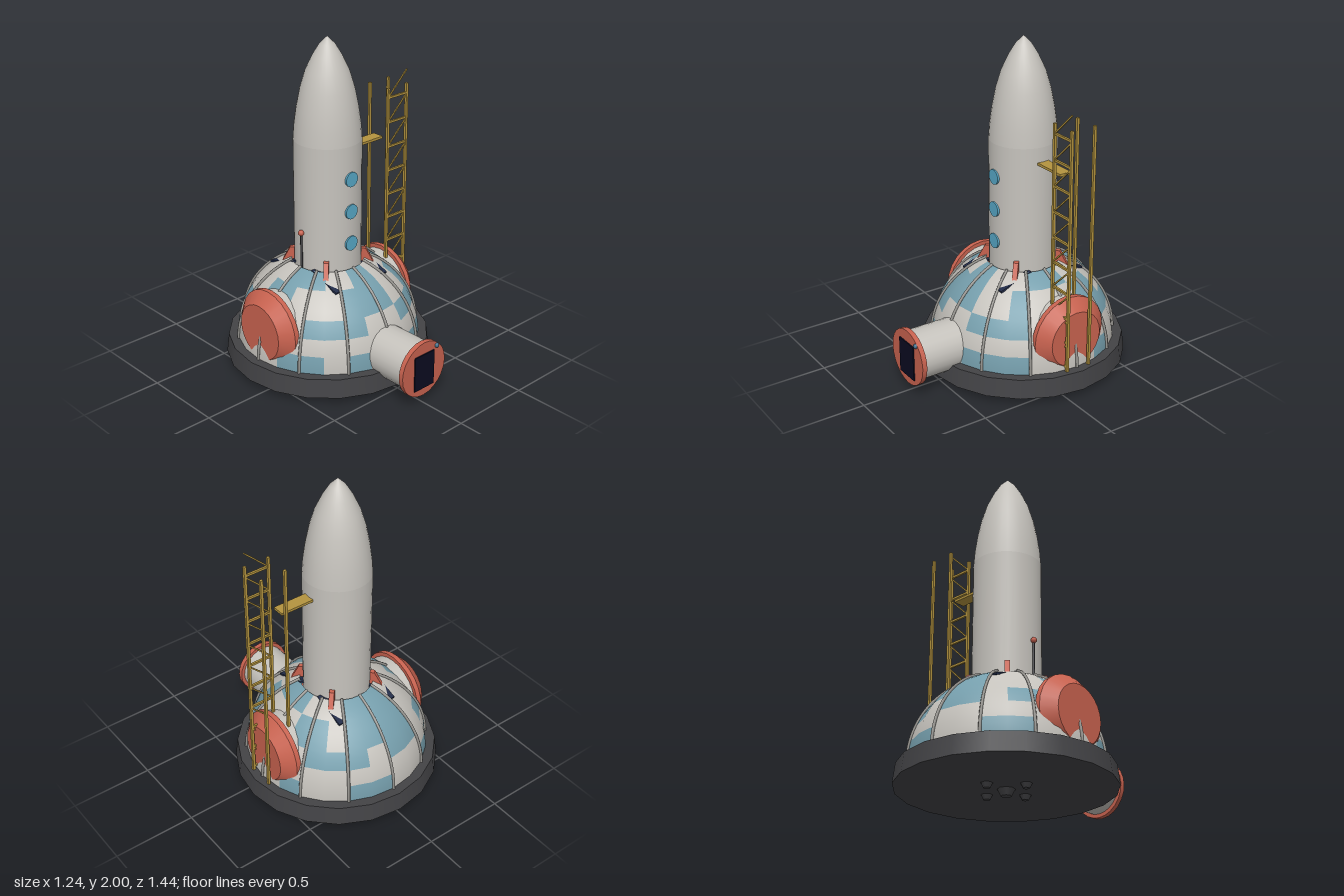
import * as THREE from 'three';

const paint = (name, color) => {
  const m = new THREE.MeshStandardMaterial({ color });
  m.name = name;
  return m;
};

export function createModel() {
  const white = paint('hullWhite', 0xc6c3bd);
  const panelBlue = paint('panelBlue', 0x769fad);
  const glass = paint('windowBlue', 0x58a9c8);
  const red = paint('hatchRed', 0xc8624f);
  const dark = paint('baseGrey', 0x434346);
  const navy = paint('padNavy', 0x222c48);
  const black = paint('doorDark', 0x0b0b20);
  const gold = paint('towerGold', 0xb4943f);
  const grey = paint('ribGrey', 0x96948f);
  const steel = paint('knobBlue', 0x44708c);

  const root = new THREE.Group();
  const station = new THREE.Group(); // everything round the dome axis
  station.name = 'station';
  station.position.z = -0.1;
  root.add(station);

  const add = (parent, name, geo, mat, x = 0, y = 0, z = 0) => {
    const m = new THREE.Mesh(geo, mat);
    m.name = name;
    m.position.set(x, y, z);
    parent.add(m);
    return m;
  };
  const box = (w, h, d) => new THREE.BoxGeometry(w, h, d);
  const cyl = (rt, rb, h, n = 24) => new THREE.CylinderGeometry(rt, rb, h, n);
  const V = (x, y, z = 0) => new THREE.Vector3(x, y, z);

  // Base ring
  add(station, 'baseRing', cyl(0.606, 0.62, 0.115, 20), dark, 0, 0.0975, 0);
  add(station, 'underCore', cyl(0.05, 0.03, 0.04, 8), dark, 0, 0.02, 0);
  for (let i = 0; i < 4; i++) {
    const a = i * Math.PI / 2;
    add(station, 'underFoot', cyl(0.035, 0.02, 0.03, 7), dark, 0.15 * Math.sin(a), 0.027, 0.15 * Math.cos(a));
  }

  // Dome: 24 sectors starting at the back; '#' marks a blue panel
  const R = 0.55, CY = 0.14;
  const rows = [
    [0.26, '..##...##.#..###...#..##'],
    [0.355, '........................'],
    [0.45, '##.##...###..###....###.'],
    [0.58, '##...##...###..#...##.##'],
    [0.645, '##....###..##...###...##'],
  ];
  const profile = [new THREE.Vector2(R, CY)], bandRow = [];
  let low = CY;
  rows.forEach(([top], r) => {
    for (let k = 1; k <= 3; k++) {
      const y = low + (top - low) * k / 3;
      profile.push(new THREE.Vector2(Math.sqrt(R * R - (y - CY) ** 2), y));
      bandRow.push(r);
    }
    low = top;
  });
  const domeGeo = new THREE.LatheGeometry(profile, 24, -Math.PI);
  for (let s = 0, q = 0; s < 24; s++) {
    for (const r of bandRow) domeGeo.addGroup(6 * q++, 6, rows[r][1][s] === '#' ? 1 : 0);
  }
  add(station, 'dome', domeGeo, [white, panelBlue]);

  // Dome ribs
  const arc = [];
  for (let i = 0; i <= 8; i++) {
    const t = i / 8 * 1.17;
    arc.push(V((R + 0.004) * Math.cos(t), CY + (R + 0.004) * Math.sin(t)));
  }
  const ribGeo = new THREE.TubeGeometry(new THREE.CatmullRomCurve3(arc), 16, 0.009, 6);
  for (let i = 0; i < 12; i++) add(station, 'domeRib', ribGeo, grey).rotation.y = i * Math.PI / 6;

  // Rocket hull and pointed nose
  add(station, 'rocketBody', cyl(0.2, 0.2, 0.9, 32), white, 0, 0.95, 0);
  const nose = [[0.2, 1.4], [0.193, 1.49], [0.179, 1.59], [0.157, 1.7], [0.127, 1.8], [0.085, 1.89], [0.045, 1.955], [0, 2]];
  add(station, 'rocketNose', new THREE.LatheGeometry(nose.map(p => new THREE.Vector2(...p)), 32), white);
  for (const y of [0.8, 1, 1.2]) {
    add(station, 'rocketWindow', cyl(0.045, 0.045, 0.02), glass, 0, y, 0.197).rotation.x = Math.PI / 2;
  }

  // Diagonal fins
  const finShape = new THREE.Shape([[0.17, 0.56], [0.28, 0.56], [0.275, 0.61], [0.225, 0.705], [0.17, 0.71]]
    .map(p => new THREE.Vector2(...p)));
  const finGeo = new THREE.ExtrudeGeometry(finShape, { depth: 0.03, bevelEnabled: false });
  finGeo.translate(0, 0, -0.015);
  for (let i = 0; i < 4; i++) add(station, 'fin', finGeo, red).rotation.y = Math.PI / 4 + i * Math.PI / 2;

  // Sloping landing pads partly sunk into the dome
  for (const sx of [-1, 1]) for (const sz of [-1, 1]) {
    add(station, 'landingPad', box(0.085, 0.012, 0.222), navy, sx * 0.162, 0.608, sz * 0.185).rotation.x = sz * 0.32;
  }

  // Signal mast on the rocket's right side
  add(station, 'mast', cyl(0.007, 0.007, 0.24, 8), dark, -0.208, 0.74, 0);
  add(station, 'mastLamp', new THREE.SphereGeometry(0.018, 12, 8), red, -0.21, 0.862, 0);

  // Side hatches, mirrored
  for (const s of [-1, 1]) {
    const hatch = new THREE.Group();
    hatch.name = s > 0 ? 'leftHatch' : 'rightHatch';
    hatch.position.y = 0.33;
    hatch.rotation.z = -s * Math.PI / 2;
    station.add(hatch);
    add(hatch, 'hatchTunnel', cyl(0.215, 0.215, 0.17), white, 0, 0.365, 0);
    add(hatch, 'hatchRim', cyl(0.24, 0.24, 0.03), red, 0, 0.455, 0);
    add(hatch, 'hatchCover', cyl(0.17, 0.24, 0.068), red, 0, 0.504, 0);
  }

  // Front airlock
  const airlock = new THREE.Group();
  airlock.name = 'airlock';
  airlock.position.y = 0.22;
  root.add(airlock);
  add(airlock, 'airlockTunnel', cyl(0.15, 0.15, 0.4), white, 0, 0, 0.48).rotation.x = Math.PI / 2;
  add(airlock, 'airlockRim', cyl(0.172, 0.172, 0.03), red, 0, 0, 0.69).rotation.x = Math.PI / 2;
  add(airlock, 'airlockDoor', box(0.155, 0.22, 0.009), black, 0, -0.01, 0.708);
  add(airlock, 'airlockKnob', new THREE.SphereGeometry(0.015, 12, 8), steel, 0.1, 0.118, 0.705);

  // Service tower: posts, rungs, diagonal braces and walkway
  const tower = new THREE.Group();
  tower.name = 'tower';
  root.add(tower);
  const xA = 0.408, xB = 0.56, zF = -0.022, zB = -0.175;
  for (const x of [xA, xB]) for (const z of [zF, zB]) {
    add(tower, 'towerPost', box(0.016, 1.48, 0.016), gold, x, 0.88, z);
  }
  const span = xB - xA, rise = 0.145;
  for (let i = 0; i < 10; i++) {
    const y = 0.184 + i * 0.153;
    add(tower, 'towerRung', box(span, 0.013, 0.013), gold, (xA + xB) / 2, y, zF);
    add(tower, 'towerBrace', box(Math.hypot(span, rise), 0.008, 0.008), gold, (xA + xB) / 2, y + rise / 2, zF)
      .rotation.z = Math.atan2(rise, span);
  }
  add(tower, 'walkway', box(0.215, 0.015, 0.075), gold, 0.3, 1.305, -0.1);

  return root;
}
